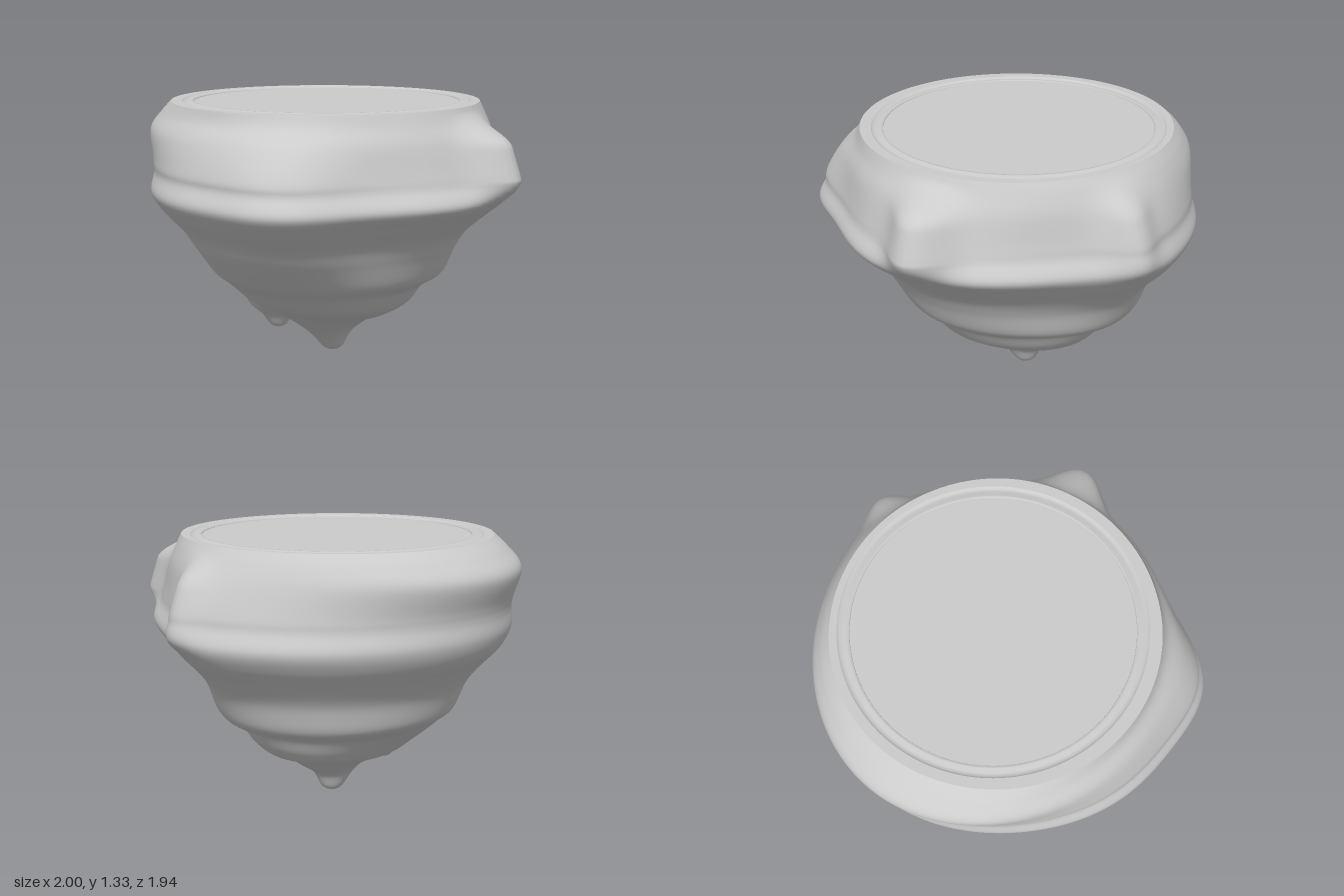
import * as THREE from 'three';

const SEG = 180, STEPS = 150, CX = -0.07;
const { smoothstep, clamp } = THREE.MathUtils;
const material = new THREE.MeshStandardMaterial({ color: 0xcccccc, side: THREE.DoubleSide });

// Cross-sections: height, then reach to +x, +z, -x, -z
const rings = [
  [1.33, 0.78, 0.79, 0.78, 0.76],
  [1.27, 0.81, 0.81, 0.86, 0.8],
  [1.18, 0.86, 0.87, 0.93, 0.84],
  [1.04, 0.91, 0.92, 0.89, 0.88],
  [0.98, 0.93, 0.925, 0.88, 0.89],
  [0.89, 0.97, 0.955, 0.88, 0.92],
  [0.8, 0.87, 0.89, 0.84, 0.875],
  [0.7, 0.75, 0.79, 0.745, 0.785],
  [0.6, 0.68, 0.72, 0.665, 0.71],
  [0.47, 0.61, 0.6, 0.61, 0.66],
  [0.42, 0.54, 0.54, 0.55, 0.61],
  [0.39, 0.5, 0.5, 0.52, 0.53],
  [0.3, 0.43, 0.4, 0.41, 0.47],
  [0.245, 0.34, 0.29, 0.34, 0.41],
  [0.22, 0.27, 0.25, 0.27, 0.32],
  [0.16, 0.16, 0.18, 0.16, 0.22],
  [0.1, 0.1, 0.12, 0.1, 0.11],
  [0.02, 0.05, 0.05, 0.05, 0.05],
  [0, 0, 0, 0, 0],
];

// Smooth interpolation between neighbouring cross-sections
function ringAt(u) {
  const i = Math.min(Math.floor(u), rings.length - 2), t = u - i;
  const at = k => rings[clamp(i + k, 0, rings.length - 1)];
  return rings[0].map((_, n) => {
    const [a, b, c, d] = [at(-1)[n], at(0)[n], at(1)[n], at(2)[n]];
    return b + 0.5 * t * (c - a + t * (2 * a - 5 * b + 4 * c - d + t * (3 * (b - c) + d - a)));
  });
}

// Local bulge centred on one direction
function bulge(angle, centre, width) {
  const d = Math.atan2(Math.sin(angle - centre), Math.cos(angle - centre));
  return Math.exp(-((d / width) ** 2));
}

function ringPoint([y, px, pz, nx, nz], angle) {
  const c = Math.cos(angle), s = Math.sin(angle);
  const reach = (c > 0 ? px : nx) * c * c + (s > 0 ? pz : nz) * s * s;
  // Flattened diagonals and one strong front corner, fading to round at rim and tip
  const lumpy = smoothstep(y, 0.15, 0.85) * (1 - smoothstep(y, 1.0, 1.36));
  const flat = (c > 0 ? 0.05 : 0.03) * Math.sin(2 * angle) ** 2;
  const shape = 0.115 * bulge(angle, 1.13, 0.31) + 0.06 * bulge(angle, -1.27, 0.3) - flat;
  // Side spur and back rib on the upper band
  const band = 1 - smoothstep(y, 1.15, 1.31);
  const spur = 0.15 * smoothstep(y, 0.86, 1.0) * band * bulge(angle, -0.1, 0.16);
  const rib = 0.075 * smoothstep(y, 0.8, 0.98) * band * bulge(angle, -1.2, 0.12);
  const r = Math.max(reach, 0) * (1 + lumpy * shape) + spur + rib;
  const cz = -0.07 + 0.05 * smoothstep(y, 0, 0.3);
  return [CX + r * c, Math.max(y, 0), cz + r * s];
}

// Closed loop of points round the vertical axis
function loop(fn) {
  return Array.from({ length: SEG }, (_, j) => fn(j / SEG * Math.PI * 2));
}

// Skin a stack of closed loops
function loft(loops) {
  const index = [];
  for (let i = 0; i < loops.length - 1; i++) {
    for (let j = 0; j < SEG; j++) {
      const a = i * SEG + j, b = i * SEG + (j + 1) % SEG;
      index.push(a, b, a + SEG, b, b + SEG, a + SEG);
    }
  }
  const geometry = new THREE.BufferGeometry();
  geometry.setAttribute('position', new THREE.Float32BufferAttribute(loops.flat(2), 3));
  geometry.setIndex(index);
  geometry.computeVertexNormals();
  return geometry;
}

function addPart(group, name, geometry, x = 0, y = 0, z = 0) {
  const mesh = new THREE.Mesh(geometry, material);
  mesh.name = name;
  mesh.position.set(x, y, z);
  group.add(mesh);
  return mesh;
}

export function createModel() {
  const group = new THREE.Group();
  group.name = 'floatingRock';

  // Rock sides, from the flat rim down to the pointed tip
  const sides = [];
  for (let i = 0; i <= STEPS; i++) {
    const ring = ringAt(i / STEPS * (rings.length - 1));
    sides.push(loop(a => ringPoint(ring, a)));
  }
  addPart(group, 'rockBody', loft(sides));

  // Flat rim joining the rock edge to the groove
  addPart(group, 'topRim', loft([
    loop(a => [CX + 0.73 * Math.cos(a), 1.33, -0.02 + 0.73 * Math.sin(a)]),
    loop(a => ringPoint(rings[0], a)),
  ]));

  // Shallow groove around the plate
  const groove = [[0.73, 1.33], [0.72, 1.322], [0.705, 1.322], [0.685, 1.329], [0.672, 1.329], [0.67, 1.322]]
    .map(p => new THREE.Vector2(...p));
  addPart(group, 'plateGroove', new THREE.LatheGeometry(groove, SEG), CX, 0, -0.02);

  // Round level ground plate
  const plate = addPart(group, 'groundPlate', new THREE.CircleGeometry(0.67, SEG), CX, 1.322, -0.02);
  plate.rotation.x = -Math.PI / 2;

  // Hanging lump beside the tip, widening into the rock
  const lump = [[0, 0.145], [0.04, 0.16], [0.085, 0.22], [0.15, 0.28], [0.2, 0.38]]
    .map(p => new THREE.Vector2(...p));
  const lumpProfile = new THREE.SplineCurve(lump).getPoints(24);
  addPart(group, 'hangingLump', new THREE.LatheGeometry(lumpProfile, 48), -0.25, 0, 0.16);

  return group;
}
